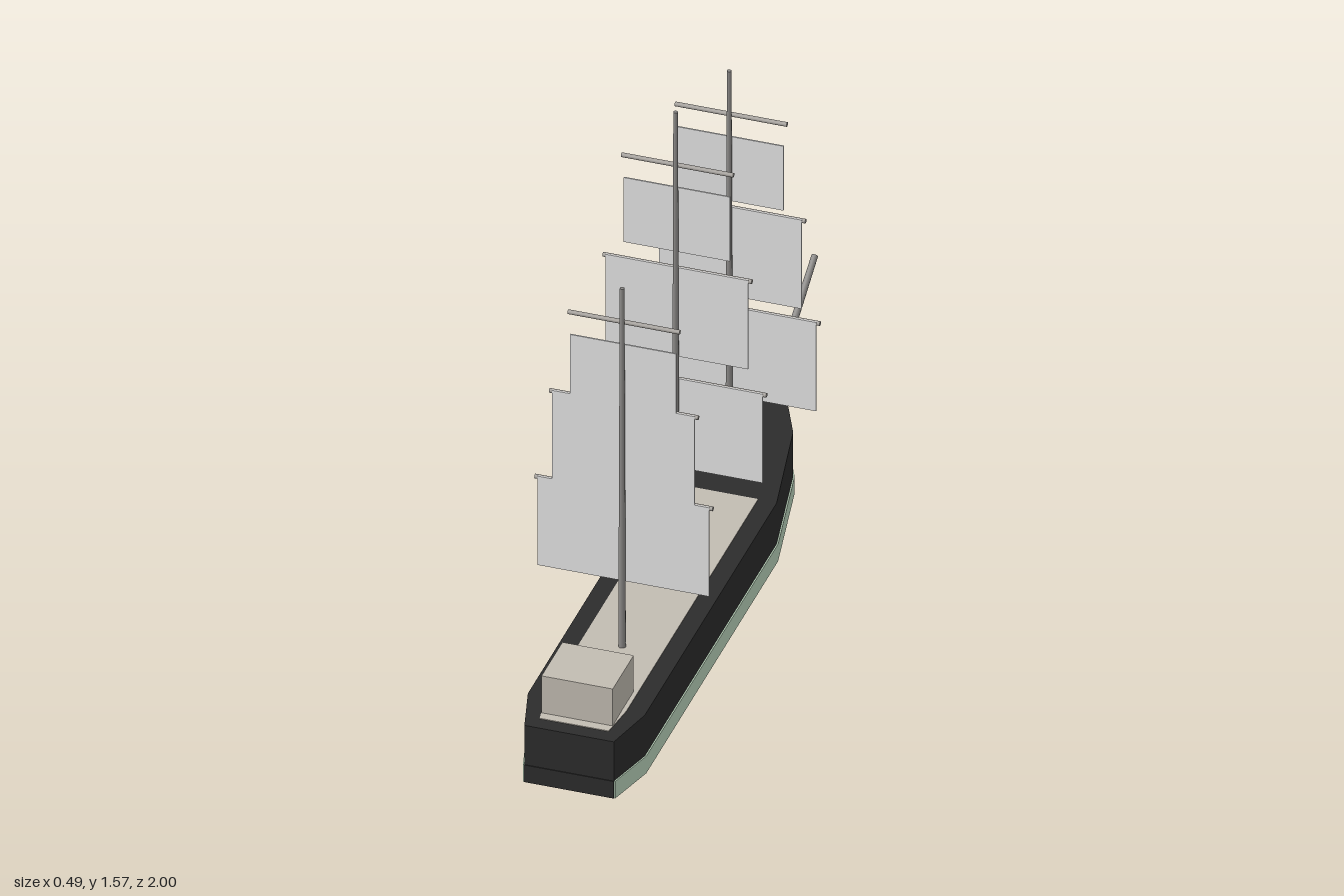
import * as THREE from 'three';

const mat = (name, color) => {
  const m = new THREE.MeshStandardMaterial({ color });
  m.name = name;
  return m;
};

// Hull stations from stern to bow: z, half width, keel, waterline, deck height
const STATIONS = [
  [1.0, 0.125, 0, 0.053, 0.175],
  [0.86, 0.163, 0, 0.053, 0.18],
  [-0.21, 0.163, 0, 0.053, 0.18],
  [-0.53, 0.1, 0, 0.053, 0.19],
  [-0.735, 0.003, 0.045, 0.06, 0.206],
];

// Closed loft through rectangular sections [z, halfWidth, bottom, top], stern first
function loft(sections) {
  const pos = [], index = [];
  for (const [z, w, b, t] of sections) pos.push(-w, b, z, w, b, z, w, t, z, -w, t, z);
  for (let i = 0; i < sections.length - 1; i++) {
    for (let j = 0; j < 4; j++) {
      const a = i * 4 + j, b = i * 4 + (j + 1) % 4;
      index.push(a, a + 4, b + 4, a, b + 4, b);
    }
  }
  const e = (sections.length - 1) * 4;
  index.push(0, 1, 2, 0, 2, 3, e, e + 2, e + 1, e, e + 3, e + 2);
  const g = new THREE.BufferGeometry();
  g.setAttribute('position', new THREE.Float32BufferAttribute(pos, 3));
  g.setIndex(index);
  const flat = g.toNonIndexed();
  flat.computeVertexNormals();
  return flat;
}

export function createModel() {
  const black = mat('hullBlack', 0x2c2c2c);
  const green = mat('bottomGreen', 0xbbd4bc);
  const wood = mat('deckWood', 0xc2bcb2);
  const spar = mat('sparGrey', 0x8c8a88);
  const yardGrey = mat('yardGrey', 0xa4a09b);
  const cloth = mat('sailCloth', 0xe6e6e6);

  const ship = new THREE.Group();
  ship.name = 'sailingShip';
  const add = (parent, name, geometry, material, x = 0, y = 0, z = 0) => {
    const m = new THREE.Mesh(geometry, material);
    m.name = name;
    m.position.set(x, y, z);
    parent.add(m);
    return m;
  };

  // Hull in two bands, with the lower one a little wider
  add(ship, 'upperHull', loft(STATIONS.map(([z, w, , m, t]) => [z, w - 0.002, m, t])), black);
  add(ship, 'lowerHull', loft(STATIONS.map(([z, w, b, m]) => [z, w + 0.002, b, m])), green);

  // Black transom carried down over the lower band
  add(ship, 'transom', new THREE.BoxGeometry(0.246, 0.053, 0.004), black, 0, 0.0265, 1.0);

  // Deck planking amidships and aft, a thin inset plate
  add(ship, 'deck', loft([[0.96, 0.095, 0.174, 0.1785], [0.86, 0.11, 0.178, 0.182], [-0.21, 0.11, 0.178, 0.182]]), wood);

  // Stern cabin
  add(ship, 'cabin', new THREE.BoxGeometry(0.196, 0.118, 0.17), wood, 0, 0.235, 0.85);

  // Bowsprit
  const from = new THREE.Vector3(0, 0.255, -0.692), to = new THREE.Vector3(0, 0.432, -0.994);
  const dir = to.clone().sub(from);
  const bowsprit = add(ship, 'bowsprit', new THREE.CylinderGeometry(0.009, 0.011, dir.length(), 12), spar);
  bowsprit.position.copy(from).add(to).multiplyScalar(0.5);
  bowsprit.quaternion.setFromUnitVectors(new THREE.Vector3(0, 1, 0), dir.normalize());

  // Masts: z, top, and yard heights from lowest to highest
  const masts = [
    ['mizzenMast', 0.57, 1.295, [0.65, 0.925, 1.18]],
    ['mainMast', 0.135, 1.575, [0.735, 1.08, 1.4]],
    ['foreMast', -0.3, 1.435, [0.69, 1.0, 1.29]],
  ];
  // Rig levels: half yard, half sail, sail top relative to yard, sail height
  const levels = [
    ['lower', 0.245, 0.236, 0.006, 0.276],
    ['middle', 0.205, 0.196, 0.006, 0.276],
    ['upper', 0.154, 0.146, -0.065, 0.2],
  ];
  for (const [name, z, top, yards] of masts) {
    const rig = new THREE.Group();
    rig.name = name;
    rig.position.z = z;
    ship.add(rig);
    const base = 0.17;
    add(rig, 'pole', new THREE.CylinderGeometry(0.0062, 0.0102, top - base, 12), spar, 0, (top + base) / 2, 0);
    levels.forEach(([level, yardHalf, sailHalf, rise, h], i) => {
      const y = yards[i];
      const yard = add(rig, level + 'Yard', new THREE.CylinderGeometry(0.0065, 0.0065, yardHalf * 2, 10), yardGrey, 0, y, -0.016);
      yard.rotation.z = Math.PI / 2;
      // The sail is a thin sheet just on the mast side of its yard
      add(rig, level + 'Sail', new THREE.BoxGeometry(sailHalf * 2, h, 0.004), cloth, 0, y + rise - h / 2, -0.0108);
    });
  }
  return ship;
}
